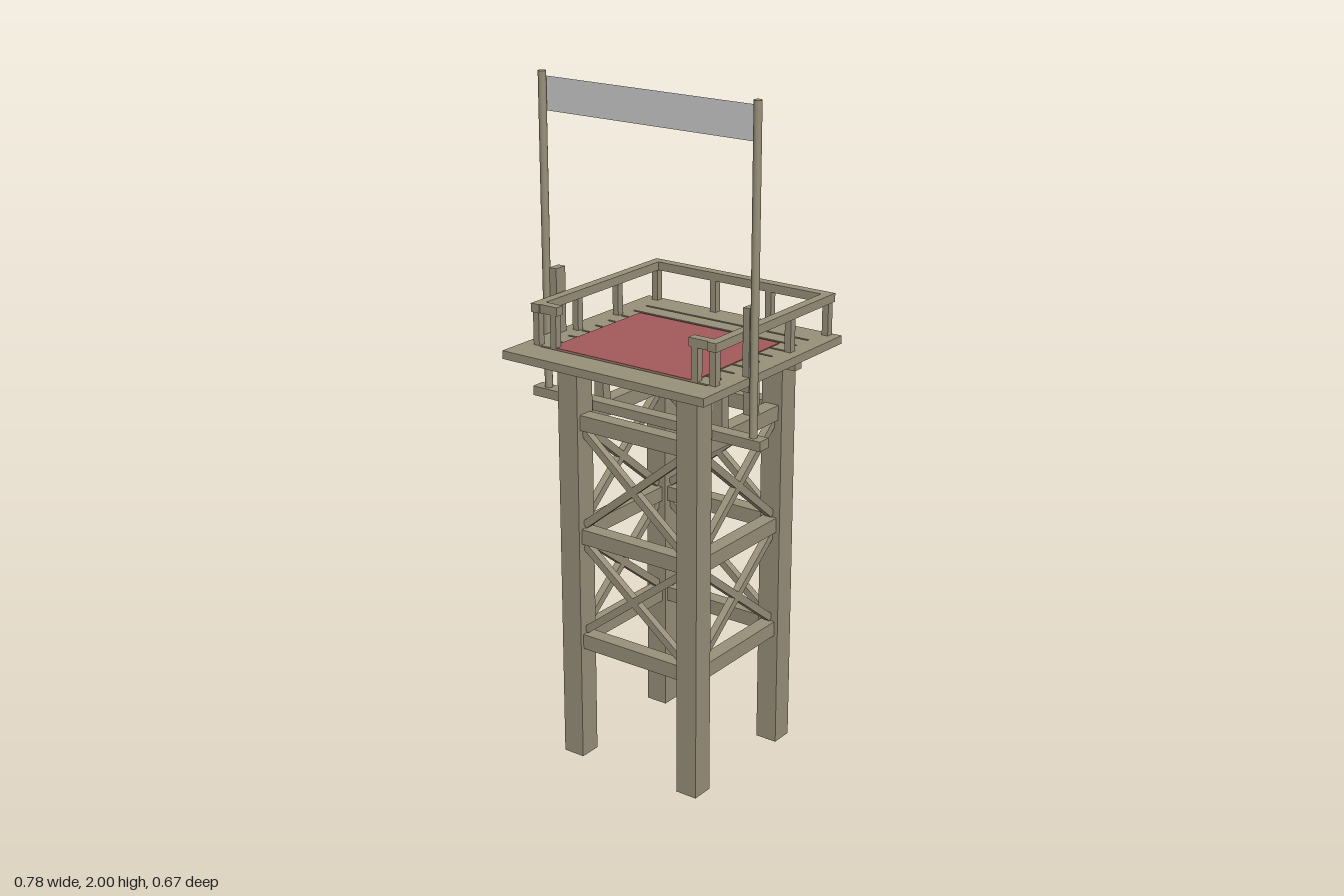
import * as THREE from 'three';

export function createModel() {
  const tower = new THREE.Group();
  tower.name = 'watchtower';
  const wood = new THREE.MeshStandardMaterial({ color: 0x98907a });
  const red = new THREE.MeshStandardMaterial({ color: 0xa45b5c, side: THREE.DoubleSide });
  const grey = new THREE.MeshStandardMaterial({ color: 0xcccccc, side: THREE.DoubleSide });

  const add = (name, geometry, material = wood) => {
    const mesh = new THREE.Mesh(geometry, material);
    mesh.name = name;
    tower.add(mesh);
    return mesh;
  };
  // Box given by its extents on each axis
  const box = (name, x0, x1, y0, y1, z0, z1, material) => {
    const mesh = add(name, new THREE.BoxGeometry(x1 - x0, y1 - y0, z1 - z0), material);
    mesh.position.set((x0 + x1) / 2, (y0 + y1) / 2, (z0 + z1) / 2);
    return mesh;
  };
  // Square bar between two points
  const bar = (name, a, b, size) => {
    const mesh = add(name, new THREE.BoxGeometry(size, size, a.distanceTo(b)));
    mesh.position.copy(a).add(b).multiplyScalar(0.5);
    mesh.lookAt(b);
  };

  const legX = 0.205, legZ = [0.1875, -0.2225], half = 0.034;
  const innerX = legX - half, innerZ = [legZ[0] - half, legZ[1] + half];

  // Four legs
  for (const x of [-legX, legX])
    for (const z of legZ) box('leg', x - half, x + half, 0, 1.24, z - half, z + half);

  // Three rings of beams between the legs
  const levels = [[0.35, 0.395], [0.68, 0.725], [1.025, 1.07]], t = 0.0225;
  for (const [y0, y1] of levels) {
    for (const z of legZ) box('crossBeam', -innerX, innerX, y0, y1, z - t, z + t);
    for (const x of [-legX, legX]) box('sideBeam', x - t, x + t, y0, y1, innerZ[1], innerZ[0]);
  }

  // Diagonal braces in both bays of every face
  for (let i = 0; i < 2; i++) {
    const lo = levels[i][1] + 0.01, hi = levels[i + 1][0] - 0.01;
    for (const [ya, yb] of [[lo, hi], [hi, lo]]) {
      for (const z of legZ)
        bar('brace', new THREE.Vector3(-innerX, ya, z), new THREE.Vector3(innerX, yb, z), 0.022);
      for (const x of [-legX, legX])
        bar('brace', new THREE.Vector3(x, ya, innerZ[1]), new THREE.Vector3(x, yb, innerZ[0]), 0.022);
    }
  }

  // Short props and cross bearers carrying the deck
  for (const x of [-legX, legX])
    for (const z of [0.065, -0.085]) box('deckProp', x - 0.016, x + 0.016, 1.07, 1.24, z - 0.016, z + 0.016);
  for (const z of [0.105, -0.12]) box('bearer', -0.335, 0.335, 1.215, 1.236, z - 0.016, z + 0.016);
  for (const x of [-0.19, -0.06, 0.07, 0.19]) box('joist', x - 0.01, x + 0.01, 1.234, 1.244, -0.25, 0.25);

  // Deck border and spaced planks
  const d0 = 1.236, d1 = 1.26;
  box('frontBoard', -0.34, 0.34, d0, d1, 0.245, 0.335);
  box('backBoard', -0.34, 0.34, d0, d1, -0.335, -0.248);
  box('rightBoard', -0.34, -0.281, d0, d1, -0.248, 0.245);
  box('leftBoard', 0.287, 0.34, d0, d1, -0.248, 0.245);
  for (let i = 0; i < 8; i++) {
    const z = -0.24 + i * 0.0605;
    box('plank', -0.281, 0.287, d0, d1, z, z + 0.053);
  }
  box('mat', -0.247, 0.24, d1, d1 + 0.003, -0.168, 0.237, red);

  // Railing around the back and sides, returning at the front corners
  const r0 = 1.355, r1 = 1.38;
  box('backRail', -0.31, 0.315, r0, r1, -0.335, -0.305);
  box('rightRail', -0.31, -0.281, r0, r1, -0.305, 0.245);
  box('leftRail', 0.287, 0.315, r0, r1, -0.305, 0.245);
  box('frontRailEnd', -0.281, -0.222, r0, r1, 0.213, 0.24);
  box('frontRailEnd', 0.223, 0.287, r0, r1, 0.213, 0.24);
  const railPost = (x, z) => box('railPost', x - 0.01, x + 0.01, d1, r0, z - 0.011, z + 0.011);
  for (const x of [-0.296, 0.301])
    for (const z of [0.23, 0.058, -0.127, -0.318]) railPost(x, z);
  for (const x of [-0.085, 0.108]) railPost(x, -0.318);
  for (const x of [-0.238, 0.241]) railPost(x, 0.227);

  // Outrigger with the banner poles and their side stays
  box('outrigger', -0.393, 0.39, 1.067, 1.095, 0.105, 0.146);
  for (const x of [-0.352, 0.354]) {
    const pole = add('bannerPole', new THREE.CylinderGeometry(0.0115, 0.0115, 0.91, 16));
    pole.position.set(x, 1.545, 0.125);
  }
  box('stay', -0.339, -0.315, 1.25, 1.45, 0.087, 0.127);
  box('stay', 0.318, 0.339, 1.25, 1.45, 0.087, 0.127);

  // Thin banner hung between the poles
  const banner = add('banner', new THREE.PlaneGeometry(0.7, 0.095), grey);
  banner.position.set(0.001, 1.937, 0.114);

  return tower;
}
